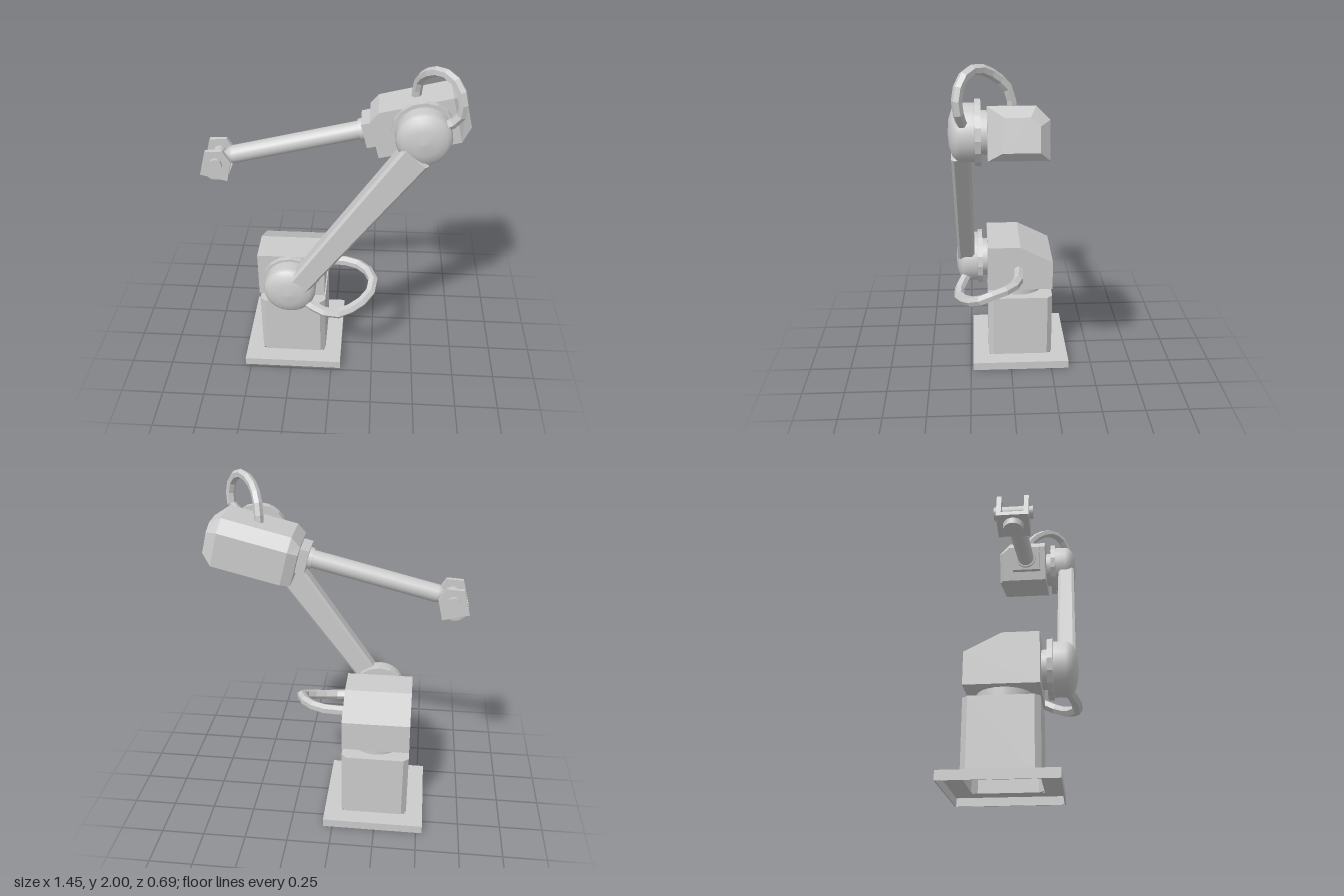
import * as THREE from 'three';

const smooth = new THREE.MeshStandardMaterial({ color: 0xcccccc });
const flat = new THREE.MeshStandardMaterial({ color: 0xcccccc, flatShading: true });

function add(parent, name, geometry, material = flat) {
  const mesh = new THREE.Mesh(geometry, material);
  mesh.name = name;
  parent.add(mesh);
  return mesh;
}

const toShape = pts => new THREE.Shape(pts.map(p => new THREE.Vector2(...p)));

const extrude = (shape, depth) => new THREE.ExtrudeGeometry(shape, { depth, bevelEnabled: false });

// Square with cut corners
function squarePoints(h, c) {
  const pts = [[h, -h + c], [h, h - c], [h - c, h], [-h + c, h], [-h, h - c], [-h, -h + c], [-h + c, -h], [h - c, -h]];
  return c > 0 ? pts : [[h, -h], [h, h], [-h, h], [-h, -h]];
}

// Upright square slab around the base axis, optionally with a square hole
function slab(half, cut, y, height, hole = 0) {
  const shape = toShape(squarePoints(half, cut));
  if (hole) shape.holes.push(toShape(squarePoints(hole, cut)));
  return extrude(shape, height).rotateX(-Math.PI / 2).translate(-0.24, y, -0.06);
}

// Disc with its axis along z
function discZ(x, y, z0, z1, r, sides = 24) {
  return new THREE.CylinderGeometry(r, r, z1 - z0, sides).rotateX(Math.PI / 2).translate(x, y, (z0 + z1) / 2);
}

// Skin through matching cross-sections along x: each is { x, pts: [[y, z], ...] }
function loft(sections) {
  const pos = [];
  const tri = (...v) => v.forEach(p => pos.push(...p));
  const rings = sections.map(s => s.pts.map(([y, z]) => [s.x, y, z]));
  const n = rings[0].length;
  for (let k = 0; k < rings.length - 1; k++) {
    for (let i = 0; i < n; i++) {
      const j = (i + 1) % n;
      const a = rings[k][i], b = rings[k][j], c = rings[k + 1][j], d = rings[k + 1][i];
      tri(a, d, c);
      tri(a, c, b);
    }
  }
  const first = rings[0], last = rings[rings.length - 1];
  for (let i = 1; i < n - 1; i++) {
    tri(first[0], first[i], first[i + 1]);
    tri(last[0], last[i + 1], last[i]);
  }
  const g = new THREE.BufferGeometry();
  g.setAttribute('position', new THREE.Float32BufferAttribute(pos, 3));
  g.computeVertexNormals();
  return g;
}

function cable(points, r) {
  const curve = new THREE.CatmullRomCurve3(points.map(p => new THREE.Vector3(...p)));
  return new THREE.TubeGeometry(curve, 12, r, 6);
}

export function createModel() {
  const model = new THREE.Group();
  model.name = 'robotArm';

  // Base: hollow from below
  const base = new THREE.Group();
  base.name = 'base';
  model.add(base);
  add(base, 'basePlateRim', slab(0.295, 0, 0, 0.05, 0.288));
  add(base, 'basePlateTop', slab(0.295, 0, 0.045, 0.005, 0.19));
  add(base, 'pedestalWalls', slab(0.197, 0.03, 0.045, 0.395, 0.19));
  add(base, 'pedestalTop', slab(0.197, 0.03, 0.44, 0.005));
  add(base, 'neck', new THREE.CylinderGeometry(0.15, 0.15, 0.08, 24).translate(-0.24, 0.475, -0.06), smooth);

  // Turret: side profile swept across x
  const turret = toShape([[-0.137, 0.505], [0.255, 0.505], [0.255, 0.685], [0.058, 0.785], [-0.137, 0.785]]);
  add(model, 'turret', extrude(turret, 0.39).rotateY(Math.PI / 2).translate(-0.435, 0, 0));

  // Shoulder and elbow joints: collar, flange and domed cap
  const cap = [[0, 0.19], [0.145, 0.19], [0.146, 0.2], [0.146, 0.265], [0.138, 0.287], [0.115, 0.307], [0.07, 0.322], [0, 0.328]];
  const joints = [['shoulder', -0.235, 0.65, 1.02], ['elbow', 0.467, 1.65, 0.98]];
  for (const [name, x, y, s] of joints) {
    add(model, name + 'Collar', discZ(x, y, 0.12, 0.17, 0.107), smooth);
    add(model, name + 'Flange', discZ(x, y, 0.167, 0.197, 0.163, 16));
    const profile = cap.map(([r, h]) => new THREE.Vector2(r * s, h));
    add(model, name + 'Cap', new THREE.LatheGeometry(profile, 24).rotateX(Math.PI / 2).translate(x, y, 0), smooth);
  }

  // Upper arm: tapered bar between the joints
  const bar = toShape([[-0.17, 0.61], [0.5, 1.515], [0.375, 1.625], [-0.29, 0.65]]);
  const barGeometry = new THREE.ExtrudeGeometry(bar, {
    depth: 0.07, bevelThickness: 0.015, bevelSize: 0.015, bevelOffset: -0.015, bevelSegments: 1
  });
  add(model, 'upperArm', barGeometry.translate(0, 0, 0.23));

  // Forearm: housing, collar and rod, built level and then tilted at the elbow
  const forearm = new THREE.Group();
  forearm.name = 'forearm';
  forearm.position.set(0.467, 1.65, 0);
  forearm.rotation.z = THREE.MathUtils.degToRad(14.1);
  model.add(forearm);
  const full = [[-0.13, 0.137], [0.125, 0.137], [0.125, -0.09], [0.06, -0.155], [-0.13, -0.155]];
  const front = [[-0.13, 0.137], [0.085, 0.137], [0.085, -0.09], [0.05, -0.13], [-0.13, -0.13]];
  const rear = [[-0.09, 0.07], [0.072, 0.06], [0.072, -0.06], [0.03, -0.105], [-0.09, -0.105]];
  add(forearm, 'forearmHousing', loft([
    { x: -0.26, pts: front }, { x: -0.205, pts: full }, { x: 0.178, pts: full }, { x: 0.241, pts: rear }
  ]));
  add(forearm, 'forearmCollar', new THREE.BoxGeometry(0.06, 0.14, 0.17).translate(-0.282, -0.006, 0.02));
  const rod = [[0, 0.29], [0.05, 0.29], [0.05, 0.3], [0.05, 1.04], [0.045, 1.06], [0.022, 1.105], [0, 1.105]];
  add(forearm, 'forearmRod', new THREE.LatheGeometry(rod.map(p => new THREE.Vector2(...p)), 20)
    .rotateZ(Math.PI / 2).translate(0, -0.004, 0.02), smooth);
  add(forearm, 'rodSleeve', new THREE.CylinderGeometry(0.06, 0.06, 0.03, 20)
    .rotateZ(Math.PI / 2).translate(-0.32, -0.004, 0.02), smooth);

  // Wrist: fork of two cheeks, cross pin, bottom plate and tool flange
  const wrist = new THREE.Group();
  wrist.name = 'wrist';
  model.add(wrist);
  const cheek = toShape([[-0.724, 1.305], [-0.576, 1.268], [-0.55, 1.384], [-0.592, 1.453], [-0.687, 1.447]]);
  for (const side of [-1, 1]) {
    const z = 0.022 + side * 0.071;
    add(wrist, 'forkCheek', extrude(cheek, 0.025).translate(0, 0, z - 0.0125));
    const outer = 0.022 + side * 0.102;
    add(wrist, 'pinHead', discZ(-0.632, 1.375, Math.min(z, outer), Math.max(z, outer), 0.035, 16), smooth);
  }
  add(wrist, 'crossPin', discZ(-0.632, 1.375, -0.05, 0.094, 0.036, 16), smooth);
  const tilt = THREE.MathUtils.degToRad(-14);
  add(wrist, 'forkBridge', new THREE.BoxGeometry(0.152, 0.025, 0.16)
    .rotateZ(tilt).translate(-0.647, 1.3, 0.022));
  add(wrist, 'toolFlange', new THREE.CylinderGeometry(0.055, 0.05, 0.045, 20)
    .rotateZ(tilt).translate(-0.655, 1.277, 0.022), smooth);

  // Cable loops
  add(model, 'shoulderCable', cable([
    [-0.08, 0.635, -0.05], [0.1, 0.635, -0.035], [0.19, 0.635, 0.02], [0.24, 0.625, 0.11], [0.225, 0.585, 0.19],
    [0.14, 0.54, 0.265], [0.02, 0.52, 0.315], [-0.09, 0.545, 0.29], [-0.17, 0.58, 0.25]
  ], 0.03));
  add(model, 'elbowCable', cable([
    [0.43, 1.74, 0.01], [0.435, 1.85, 0.03], [0.475, 1.935, 0.11], [0.545, 1.973, 0.19],
    [0.61, 1.94, 0.25], [0.642, 1.85, 0.275], [0.63, 1.765, 0.265], [0.55, 1.71, 0.25]
  ], 0.026));

  return model;
}
